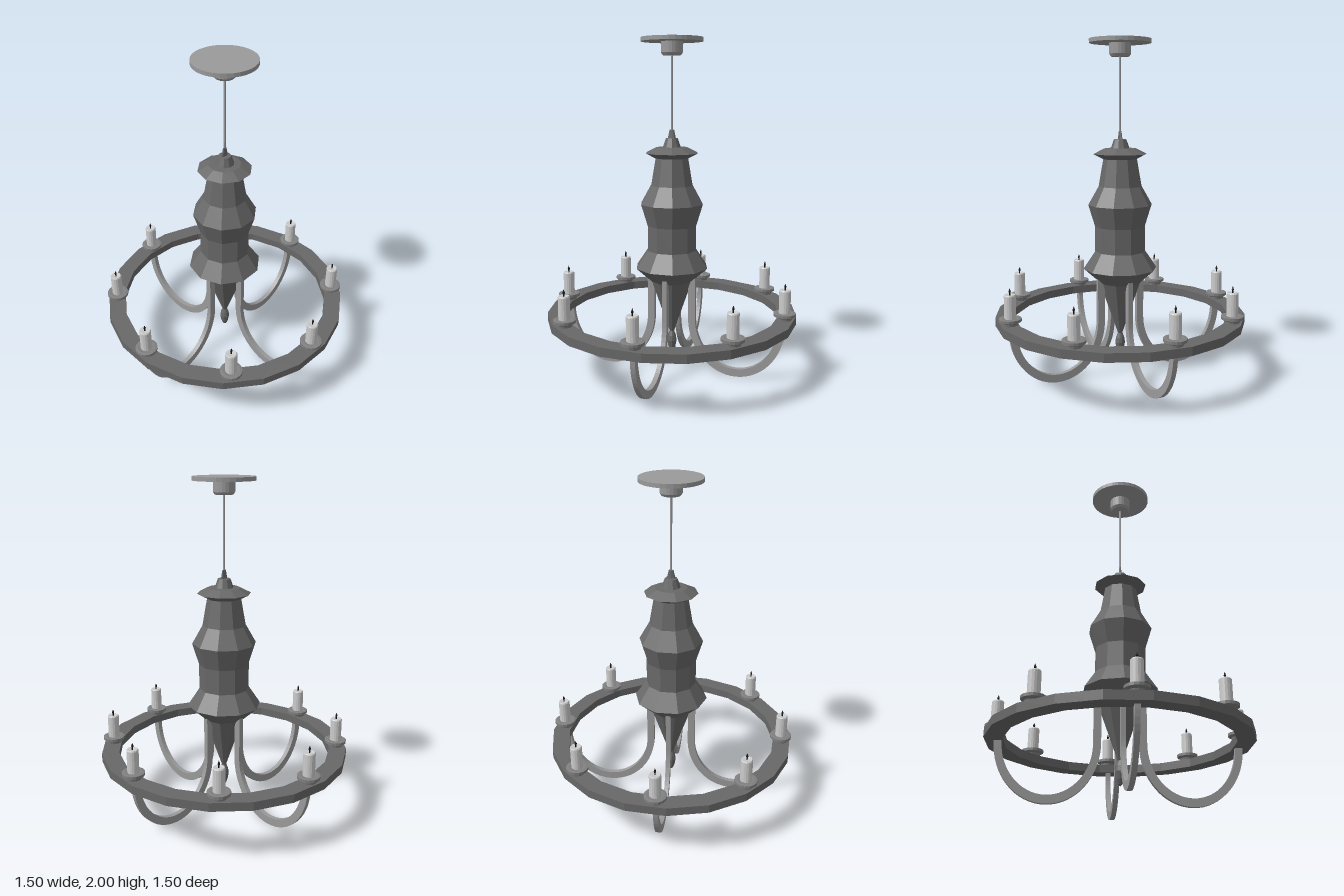
import * as THREE from 'three';

const mat = (name, color, flatShading = false) =>
  Object.assign(new THREE.MeshStandardMaterial({ color, flatShading }), { name });

export function createModel() {
  const group = new THREE.Group();
  group.name = 'chandelier';
  const iron = mat('dark iron', 0x686868, true);
  const steel = mat('light steel', 0x9a9a9a, true);
  const dish = mat('dish grey', 0x808080, true);
  const wax = mat('candle wax', 0xcccccc, true);
  const black = mat('wick black', 0x141414, true);

  const add = (name, geometry, material, parent = group) => {
    const m = new THREE.Mesh(geometry, material);
    m.name = name;
    parent.add(m);
    return m;
  };
  // Profiles are [radius, y] from bottom to top
  const lathe = (pts, sides, phase = 0) =>
    new THREE.LatheGeometry(pts.map(p => new THREE.Vector2(...p)), sides, phase);
  const cyl = (rTop, rBottom, y0, y1, sides) =>
    new THREE.CylinderGeometry(rTop, rBottom, y1 - y0, sides).translate(0, (y0 + y1) / 2, 0);

  // Ceiling mount and hanging rod
  add('ceilingPlate', cyl(0.18, 0.18, 1.977, 2, 32), steel);
  add('ceilingCup', lathe([[0, 1.9], [0.053, 1.9], [0.063, 1.915], [0.063, 1.98]], 20), steel);
  add('rod', cyl(0.006, 0.006, 1.4, 1.92, 8), steel);
  const tip = add('rodSocket', cyl(0.014, 0.026, 1.42, 1.475, 8), iron);
  tip.scale.z = 0.4;

  // Faceted central body with its collar and lower spike
  add('body', lathe([
    [0, 0.11], [0.012, 0.12], [0.022, 0.145], [0.03, 0.19], [0.025, 0.22], [0.014, 0.25],
    [0.045, 0.34], [0.125, 0.57], [0.22, 0.655], [0.15, 0.76], [0.15, 0.91],
    [0.19, 1.04], [0.128, 1.15], [0.1, 1.31], [0.158, 1.34], [0.095, 1.372],
    [0.055, 1.374], [0.037, 1.425], [0, 1.427],
  ], 10, Math.PI / 10), iron);

  // Flat wheel, a closed rectangular section turned about the axis
  add('wheel', lathe([
    [0.645, 0.34], [0.748, 0.34], [0.748, 0.39], [0.645, 0.39], [0.645, 0.34],
  ], 20, 0.09), iron);

  // Curved arms: a U-shaped strip, cut out flat and given thickness
  const u = new THREE.Shape();
  u.moveTo(0.693, 0.35);
  u.absellipse(0.4, 0.345, 0.293, 0.34, 0, Math.PI, true);
  u.lineTo(0.107, 0.62);
  u.lineTo(0.15, 0.62);
  u.lineTo(0.15, 0.345);
  u.absellipse(0.4, 0.345, 0.25, 0.293, Math.PI, Math.PI * 2, false);
  u.lineTo(0.65, 0.35);
  const armGeo = new THREE.ExtrudeGeometry(u, { depth: 0.028, bevelEnabled: false, curveSegments: 16 })
    .translate(0, 0, -0.014);
  for (let i = 0; i < 4; i++) {
    add('arm', armGeo, steel).rotation.y = i * Math.PI / 2;
  }

  // Candles on dishes around the wheel
  const dishGeo = lathe([
    [0, 0.388], [0.044, 0.388], [0.047, 0.403], [0.065, 0.412], [0.065, 0.428], [0.05, 0.43], [0, 0.425],
  ], 16);
  const candleGeo = lathe([[0.034, 0.42], [0.034, 0.56], [0.03, 0.567], [0, 0.562]], 16);
  const wickGeo = lathe([[0.004, 0.555], [0.004, 0.575], [0.007, 0.585], [0, 0.605]], 6);
  for (let i = 0; i < 8; i++) {
    const a = i * Math.PI / 4;
    const candle = new THREE.Group();
    candle.name = 'candleHolder';
    candle.position.set(0.685 * Math.cos(a), 0, 0.685 * Math.sin(a));
    add('dish', dishGeo, dish, candle);
    add('candle', candleGeo, wax, candle);
    add('wick', wickGeo, black, candle);
    group.add(candle);
  }
  return group;
}
